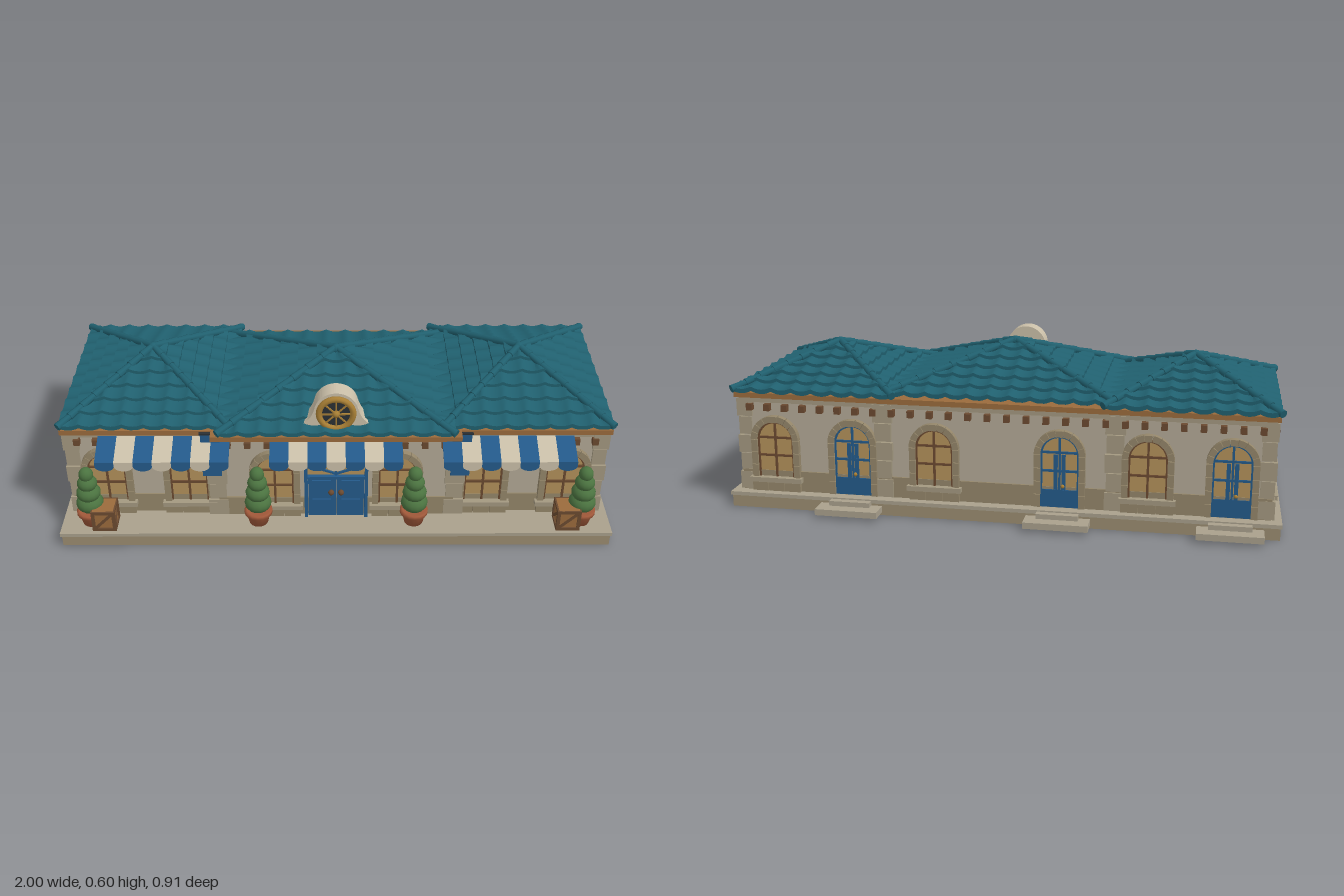
import * as THREE from 'three';

const COLORS = {
  wall: 0xb3a996, stone: 0xa39880, trim: 0x94866a, base: 0x9a8c70, paving: 0xa9a08c,
  wood: 0x9a6b3c, dark: 0x6b4a30, glass: 0xb3915a, roof: 0x20606f, blue: 0x245a8a,
  cream: 0xcabfa8, green: 0x4b7340, pot: 0xa2593a, gold: 0xa87f35, iron: 0x2b2f33,
};
const mats = {};
for (const k in COLORS) mats[k] = new THREE.MeshStandardMaterial({ color: COLORS[k], side: THREE.DoubleSide });

function add(parent, name, geo, mat, x = 0, y = 0, z = 0) {
  const m = new THREE.Mesh(geo, mats[mat]);
  m.name = name;
  m.position.set(x, y, z);
  parent.add(m);
  return m;
}
// box given by its min and max along each axis
function block(parent, name, mat, x0, x1, y0, y1, z0, z1) {
  return add(parent, name, new THREE.BoxGeometry(x1 - x0, y1 - y0, z1 - z0), mat,
    (x0 + x1) / 2, (y0 + y1) / 2, (z0 + z1) / 2);
}
function group(parent, name, x = 0, y = 0, z = 0, ry = 0) {
  const g = new THREE.Group();
  g.name = name;
  g.position.set(x, y, z);
  g.rotation.y = ry;
  parent.add(g);
  return g;
}
function extrude(shape, depth) {
  return new THREE.ExtrudeGeometry(shape, { depth, bevelEnabled: false, curveSegments: 14 });
}
function rod(parent, name, mat, a, b, r0, r1 = r0, sides = 8) {
  const d = b.clone().sub(a);
  const m = add(parent, name, new THREE.CylinderGeometry(r1, r0, d.length(), sides), mat);
  m.position.copy(a).add(b).multiplyScalar(0.5);
  m.quaternion.setFromUnitVectors(new THREE.Vector3(0, 1, 0), d.normalize());
}
const V = (x, y, z) => new THREE.Vector3(x, y, z);

// Arched opening facing +z: window with sill, or door down to the paving
const R = 0.068, RO = 0.091, SPRING = 0.255;
function archway(parent, x, z, ry, isDoor) {
  const g = group(parent, isDoor ? 'archedDoor' : 'archedWindow', x, 0, z, ry);
  const y0 = isDoor ? 0.06 : 0.113;
  const pane = new THREE.Shape();
  pane.moveTo(-R, y0);
  pane.lineTo(R, y0);
  pane.lineTo(R, SPRING);
  pane.absarc(0, SPRING, R, 0, Math.PI);
  add(g, 'pane', extrude(pane, 0.006), 'glass');
  const bar = isDoor ? 'blue' : 'dark';
  block(g, 'mullion', bar, -0.004, 0.004, y0, SPRING + R, 0.004, 0.012);
  for (const y of [0.195, 0.263]) block(g, 'crossbar', bar, -R, R, y - 0.004, y + 0.004, 0.004, 0.012);
  const rim = new THREE.Shape();
  rim.absarc(0, 0, R + 0.002, 0, Math.PI);
  rim.absarc(0, 0, R - 0.006, Math.PI, 0, true);
  add(g, 'archRim', extrude(rim, 0.012), bar, 0, SPRING, 0);
  // stone jambs and wedge stones
  for (const s of [-1, 1]) {
    const n = isDoor ? 4 : 3, h = (SPRING - y0) / n;
    for (let i = 0; i < n; i++) {
      const m = block(g, 'jambStone', 'trim', R, RO, y0 + i * h, y0 + (i + 1) * h - 0.002, 0, 0.02);
      m.position.x *= s;
    }
    const m = block(g, 'sideRail', bar, R - 0.006, R, y0, SPRING, 0, 0.012);
    m.position.x *= s;
  }
  for (let i = 0; i < 9; i++) {
    const a = (i + 0.03) * Math.PI / 9, b = (i + 0.97) * Math.PI / 9;
    const w = new THREE.Shape();
    w.absarc(0, 0, RO, a, b);
    w.absarc(0, 0, R, b, a, true);
    add(g, 'archStone', extrude(w, i === 4 ? 0.027 : 0.022), 'trim', 0, SPRING, 0);
  }
  if (isDoor) {
    block(g, 'lowerPanel', 'blue', -R, R, 0.06, 0.125, 0.002, 0.012);
    for (const s of [-1, 1]) block(g, 'stile', 'blue', s * 0.014 - 0.007, s * 0.014 + 0.007, 0.06, SPRING, 0.002, 0.011);
    add(g, 'handle', new THREE.SphereGeometry(0.007, 8, 6), 'gold', 0.014, 0.145, 0.03);
    block(g, 'lowerStep', 'paving', -0.115, 0.115, 0.012, 0.035, 0.03, 0.12);
    block(g, 'upperStep', 'paving', -0.075, 0.075, 0.035, 0.053, 0.03, 0.075);
  } else {
    block(g, 'sill', 'stone', -0.1, 0.1, 0.095, 0.113, 0, 0.032);
    for (let i = -1; i <= 1; i++) block(g, 'sillBlock', 'trim', i * 0.062 - 0.03, i * 0.062 + 0.03, 0.06, 0.092, 0, 0.024);
  }
}

// Four-sided roof of overlapping curved tiles with capped hips
function tiledRoof(parent, name, cx, cz, hx, hz, yE, yA) {
  const g = group(parent, name, cx, 0, cz);
  const rows = 6, per = 6;
  for (let f = 0; f < 4; f++) {
    const a = f % 2 ? hz : hx, d = f % 2 ? hx : hz;
    const cols = Math.round(2 * a / 0.078), n = cols * per;
    const pos = [], idx = [];
    for (let r = 0; r < rows; r++) {
      const start = pos.length / 3;
      // lines: under lip, lip top, tile lower edge, tile upper edge
      for (const [s, lift] of [[r / rows, -0.004], [r / rows, 0.012], [r / rows, 0.012], [(r + 1) / rows, 0]]) {
        const w = a * (1 - s);
        for (let i = 0; i <= n; i++) {
          const t = 2 * ((i % per) / per) - 1;
          const x = THREE.MathUtils.clamp((2 * i / n - 1) * a, -w, w);
          pos.push(x, yE + (yA - yE) * s + lift - 0.01 * (1 - t * t), d * (1 - s));
        }
      }
      for (const l of [0, 2]) for (let i = 0; i < n; i++) {
        const p = start + l * (n + 1) + i, q = p + n + 1;
        if (pos[3 * p] === pos[3 * p + 3]) continue;
        idx.push(p, p + 1, q + 1, p, q + 1, q);
      }
    }
    const geo = new THREE.BufferGeometry();
    geo.setAttribute('position', new THREE.Float32BufferAttribute(pos, 3));
    geo.setIndex(idx);
    geo.computeVertexNormals();
    add(g, 'tiledSlope', geo, 'roof').rotation.y = f * Math.PI / 2;
  }
  for (const sx of [-1, 1]) for (const sz of [-1, 1]) {
    const c = V(sx * hx, yE, sz * hz), top = V(0, yA, 0);
    for (let i = 0; i < 8; i++)
      rod(g, 'hipTile', 'roof', c.clone().lerp(top, i / 8), c.clone().lerp(top, (i + 1.1) / 8), 0.015, 0.011);
  }
  add(g, 'roofCap', new THREE.SphereGeometry(0.02, 10, 6), 'roof', 0, yA - 0.007, 0);
}

// Striped awning facing +z with a scalloped valance
function awning(parent, x, z) {
  const g = group(parent, 'awning', x, 0, z);
  const n = 7, w = 0.468 / n, run = 0.43 - z, drop = 0.042;
  for (let i = 0; i < n; i++) {
    const mat = i % 2 ? 'cream' : 'blue', xc = (i - (n - 1) / 2) * w;
    const top = add(g, 'awningStripe', new THREE.BoxGeometry(w, 0.004, Math.hypot(run, drop)), mat, xc, 0.381, run / 2);
    top.rotation.x = Math.atan2(drop, run);
    const s = new THREE.Shape();
    s.moveTo(-w / 2, 0.362);
    s.lineTo(-w / 2, 0.345);
    s.absellipse(0, 0.345, w / 2, 0.021, Math.PI, Math.PI * 2);
    s.lineTo(w / 2, 0.362);
    add(g, 'valance', extrude(s, 0.004), mat, xc, 0, run - 0.002);
  }
  for (const s of [-1, 1]) rod(g, 'awningStrut', 'iron', V(s * 0.22, 0.29, 0), V(s * 0.22, 0.35, run), 0.004);
}

function dentils(parent, len, x, z, ry) {
  const g = group(parent, 'dentilRow', x, 0, z, ry), n = Math.round(len / 0.07);
  for (let i = 0; i < n; i++) {
    const p = ((i + 0.5) / n - 0.5) * len;
    block(g, 'dentil', 'dark', p - 0.011, p + 0.011, 0.365, 0.39, 0, 0.022);
  }
}
// stacked corner stones of alternating size
function quoins(parent, x, z, w, d) {
  for (let i = 0; i < 5; i++) {
    const k = i % 2 ? 0.85 : 1, y = 0.06 + i * 0.07;
    block(parent, 'cornerStone', 'stone', x - w * k, x + w * k, y, y + 0.066, z - d * k, z + d * k);
  }
}

function topiary(parent, x) {
  const g = group(parent, 'topiary', x, 0.058, 0.383);
  const lathe = pts => new THREE.LatheGeometry(pts.map(p => new THREE.Vector2(...p)), 16);
  add(g, 'pot', lathe([[0, 0], [0.034, 0], [0.044, 0.043], [0.051, 0.043], [0.051, 0.057], [0.042, 0.057], [0, 0.05]]), 'pot');
  for (const [r, y, h] of [[0.049, 0.09, 0.037], [0.044, 0.135, 0.033], [0.036, 0.177, 0.03], [0.026, 0.215, 0.028]])
    add(g, 'foliageTier', new THREE.SphereGeometry(r, 14, 10), 'green', 0, y, 0).scale.y = h / r;
}

function crate(parent, x) {
  const g = group(parent, 'crate', x, 0.105, 0.402), h = 0.043;
  block(g, 'crateCore', 'wood', -h + 0.005, h - 0.005, -h, h, -h + 0.005, h - 0.005);
  for (let f = 0; f < 4; f++) {
    const side = group(g, 'crateSide', 0, 0, 0, f * Math.PI / 2);
    for (const s of [-1, 1]) {
      block(side, 'crateRail', 'dark', -h, h, s * 0.037 - 0.006, s * 0.037 + 0.006, h - 0.006, h);
      block(side, 'cratePost', 'dark', s * 0.037 - 0.006, s * 0.037 + 0.006, -h, h, h - 0.006, h);
    }
    block(side, 'crateBrace', 'dark', -0.05, 0.05, -0.005, 0.005, h - 0.006, h - 0.001).rotation.z = Math.PI / 4;
  }
}

export function createModel() {
  const model = new THREE.Group();
  model.name = 'building';

  // platform and walls
  block(model, 'platform', 'base', -0.995, 0.995, 0, 0.044, -0.38, 0.45);
  block(model, 'paving', 'paving', -1, 1, 0.044, 0.058, -0.385, 0.455);
  const sections = [[-0.955, -0.42, -0.335, 0.315], [-0.42, 0.42, -0.335, 0.335], [0.42, 0.955, -0.335, 0.315]];
  for (const [x0, x1, z0, z1] of sections) {
    block(model, 'wall', 'wall', x0, x1, 0.058, 0.415, z0, z1);
    block(model, 'plinth', 'trim', x0 - 0.008, x1 + 0.008, 0.058, 0.135, z0 - 0.008, z1 + 0.008);
    block(model, 'frieze', 'stone', x0 - 0.012, x1 + 0.012, 0.395, 0.415, z0 - 0.012, z1 + 0.012);
    block(model, 'cornice', 'wood', x0 - 0.022, x1 + 0.022, 0.413, 0.432, z0 - 0.022, z1 + (x0 === -0.42 ? 0.045 : 0.025));
    dentils(model, x1 - x0, (x0 + x1) / 2, z1, 0);
    dentils(model, x1 - x0, (x0 + x1) / 2, z0, Math.PI);
  }

  // roofs
  tiledRoof(model, 'centralRoof', 0, 0.028, 0.42, 0.35, 0.445, 0.588);
  for (const s of [-1, 1]) tiledRoof(model, 'wingRoof', s * 0.678, -0.015, 0.303, 0.35, 0.445, 0.568);

  // mirrored wings and furnishings
  for (const s of [-1, 1]) {
    dentils(model, 0.64, s * 0.955, -0.01, s * Math.PI / 2);
    quoins(model, s * 0.945, 0.3, 0.029, 0.029);
    quoins(model, s * 0.945, -0.315, 0.029, 0.029);
    quoins(model, s * 0.43, 0.32, 0.036, 0.026);
    quoins(model, s * 0.42, -0.33, 0.036, 0.02);
    for (const z of [0.126, -0.138]) archway(model, s * 0.955, z, s * Math.PI / 2, false);
    for (const x of [0.83, 0.535]) archway(model, s * x, 0.315, 0, false);
    archway(model, s * 0.222, 0.335, 0, false);
    awning(model, s * 0.61, 0.32);
    topiary(model, s * 0.892);
    topiary(model, s * 0.283);
    crate(model, s * 0.838);
    block(model, 'banner', 'blue', s * 0.445 - 0.034, s * 0.445 + 0.034, 0.243, 0.425, 0.348, 0.353);
    block(model, 'bannerRail', 'iron', s * 0.445 - 0.038, s * 0.445 + 0.038, 0.423, 0.43, 0.344, 0.355);
  }
  awning(model, 0, 0.338);

  // back wall openings
  for (const x of [0.83, 0.23, -0.535]) archway(model, x, -0.335, Math.PI, false);
  for (const x of [-0.825, -0.225, 0.535]) archway(model, x, -0.335, Math.PI, true);

  // front double door with transom
  const door = group(model, 'frontDoor', 0, 0, 0.336);
  block(door, 'transom', 'glass', -0.105, 0.105, 0.24, 0.33, 0, 0.01);
  block(door, 'doorHead', 'blue', -0.113, 0.113, 0.233, 0.243, 0, 0.026);
  for (const s of [-1, 1]) {
    block(door, 'doorPost', 'blue', s * 0.109 - 0.006, s * 0.109 + 0.006, 0.058, 0.335, 0, 0.026);
    block(door, 'doorLeaf', 'blue', s * 0.051 - 0.05, s * 0.051 + 0.05, 0.058, 0.235, 0, 0.014);
    for (const [y0, y1] of [[0.075, 0.135], [0.15, 0.22]])
      block(door, 'doorPanel', 'blue', s * 0.053 - 0.034, s * 0.053 + 0.034, y0, y1, 0.01, 0.019);
    add(door, 'doorKnob', new THREE.SphereGeometry(0.011, 10, 8), 'dark', s * 0.018, 0.17, 0.022);
    block(door, 'transomBar', 'blue', s * 0.045 - 0.045, s * 0.045 + 0.045, 0.262, 0.27, 0.008, 0.016).rotation.z = s * 0.35;
  }
  block(door, 'transomPost', 'blue', -0.004, 0.004, 0.24, 0.33, 0.008, 0.016);

  // round gable on the front slope
  const gable = group(model, 'gable', 0, 0, 0.274);
  const s = new THREE.Shape();
  s.moveTo(-0.135, 0.435);
  s.lineTo(0.135, 0.435);
  s.lineTo(0.135, 0.453);
  s.quadraticCurveTo(0.09, 0.47, 0.077, 0.525);
  s.absarc(0, 0.512, 0.077, 0.17, Math.PI - 0.17);
  s.quadraticCurveTo(-0.09, 0.47, -0.135, 0.453);
  add(gable, 'gableStone', extrude(s, 0.066), 'cream');
  add(gable, 'medallionRing', new THREE.TorusGeometry(0.06, 0.011, 10, 28), 'gold', 0, 0.51, 0.074);
  add(gable, 'medallionDisc', new THREE.CylinderGeometry(0.058, 0.058, 0.012, 28), 'iron', 0, 0.51, 0.068).rotation.x = Math.PI / 2;
  for (let i = 0; i < 4; i++)
    add(gable, 'medallionSpoke', new THREE.BoxGeometry(0.112, 0.005, 0.006), 'gold', 0, 0.51, 0.076).rotation.z = i * Math.PI / 4;
  add(gable, 'medallionHub', new THREE.SphereGeometry(0.014, 10, 8), 'gold', 0, 0.51, 0.075);
  return model;
}
